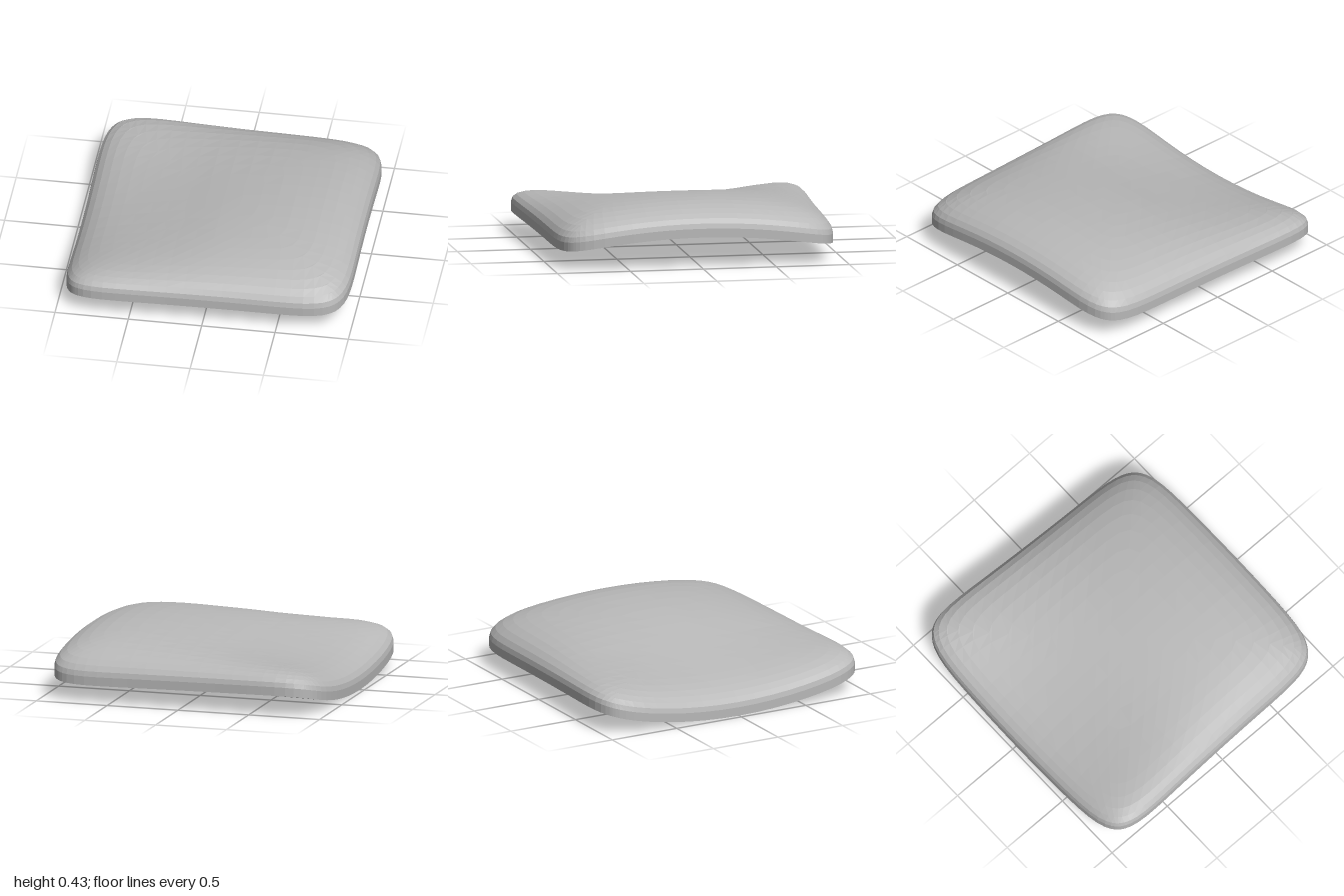
import * as THREE from 'three';

const HALF_X = 0.97;
const EDGE = 0.06; // height of the upright rim

// Underside height along the centre line, evenly spaced from -x to +x
const spine = new THREE.SplineCurve(
  [0, 0.03, 0.09, 0.16, 0.205, 0.22, 0.21].map((y, i) => new THREE.Vector2(i, y))
);

// Half depth of the pad, wider toward -x
const halfDepth = (x) => 0.97 - 0.04 * x + 0.02 * x * x;

// Underside: a valley at -x that turns into a ridge at +x
function underside(x, w) {
  const t = THREE.MathUtils.clamp((x + HALF_X) / (2 * HALF_X), 0, 1);
  const centre = spine.getPoint(t).y;
  const side = 0.13 - 0.02 * x;
  return centre + (side - centre) * w * w;
}

export function createModel() {
  const group = new THREE.Group();
  group.name = 'saddlePad';
  const grey = new THREE.MeshStandardMaterial({ color: 0xb8b8b8, flatShading: true });
  grey.name = 'soft grey';

  // Box grid bent into a rounded-square pad with a soft upper edge
  const geo = new THREE.BoxGeometry(2, 1, 2, 24, 1, 24);
  const pos = geo.attributes.position;
  for (let i = 0; i < pos.count; i++) {
    // Pack the grid lines toward the edges
    const u = Math.sin(pos.getX(i) * Math.PI / 2);
    const v = Math.sin(pos.getZ(i) * Math.PI / 2);
    const s = Math.min(1, Math.max(Math.abs(u), Math.abs(v)));
    // Square rings become rounded squares
    const k = s < 1e-6 ? 0 : s / Math.pow(u ** 8 + v ** 8, 1 / 8);
    const x = u * k * HALF_X;
    const w = v * k;
    // Thickness falls off in a rounded shoulder
    const top = pos.getY(i) > 0;
    const thick = top ? EDGE + 0.15 * Math.sqrt(Math.max(0, 1 - s ** 6)) : 0;
    pos.setXYZ(i, x, underside(x, w) + thick, w * halfDepth(x));
  }
  geo.computeVertexNormals();

  const pad = new THREE.Mesh(geo, grey);
  pad.name = 'pad';
  group.add(pad);
  return group;
}
